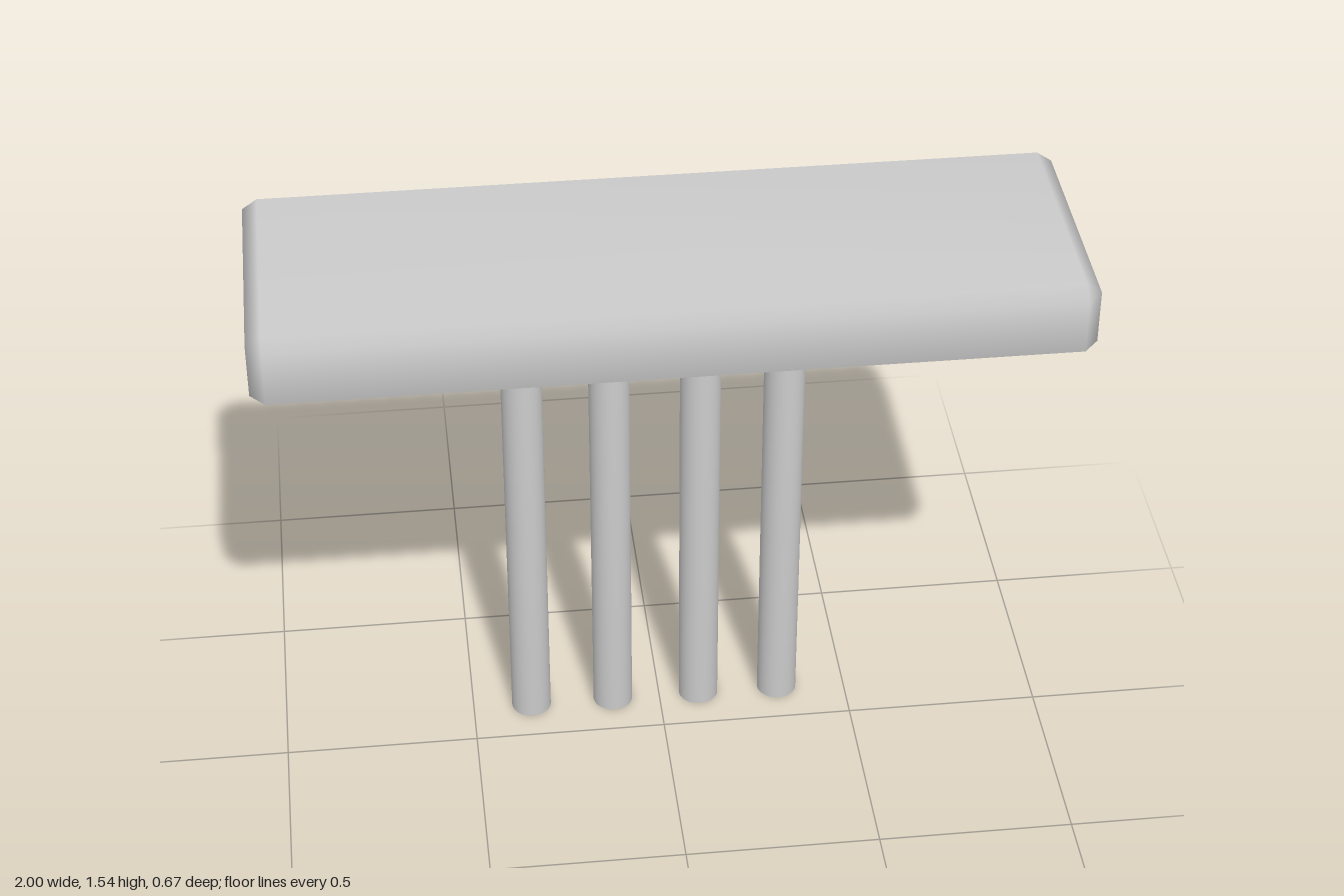
import * as THREE from 'three';
import { mergeVertices } from 'three/addons/utils/BufferGeometryUtils.js';
import { ConvexGeometry } from 'three/addons/geometries/ConvexGeometry.js';

const material = new THREE.MeshStandardMaterial({ color: 0xcccccc });

// Weld shared corners so shading runs smoothly over the edges
function smooth(geometry) {
  geometry.deleteAttribute('normal');
  geometry.deleteAttribute('uv');
  const welded = mergeVertices(geometry, 1e-4);
  welded.computeVertexNormals();
  return welded;
}

// Box with every edge and corner cut by a single bevel
function bevelledBox(hx, hy, hz, bx, by, bz) {
  const points = [];
  for (const sx of [-1, 1]) for (const sy of [-1, 1]) for (const sz of [-1, 1]) {
    points.push(
      new THREE.Vector3(sx * hx, sy * (hy - by), sz * (hz - bz)),
      new THREE.Vector3(sx * (hx - bx), sy * hy, sz * (hz - bz)),
      new THREE.Vector3(sx * (hx - bx), sy * (hy - by), sz * hz)
    );
  }
  return smooth(new ConvexGeometry(points));
}

export function createModel() {
  const group = new THREE.Group();

  // Thick slab on top
  const slab = new THREE.Mesh(bevelledBox(1, 0.095, 0.333, 0.037, 0.026, 0.04), material);
  slab.name = 'slab';
  slab.position.y = 1.445;
  group.add(slab);

  // Row of four round posts, set behind the middle
  const postHeight = 1.355;
  const postGeometry = smooth(new THREE.CylinderGeometry(0.052, 0.052, postHeight, 32));
  [-0.345, -0.125, 0.106, 0.319].forEach((x, i) => {
    const post = new THREE.Mesh(postGeometry, material);
    post.name = `post${i + 1}`;
    post.position.set(x, postHeight / 2, -0.127);
    group.add(post);
  });

  return group;
}
